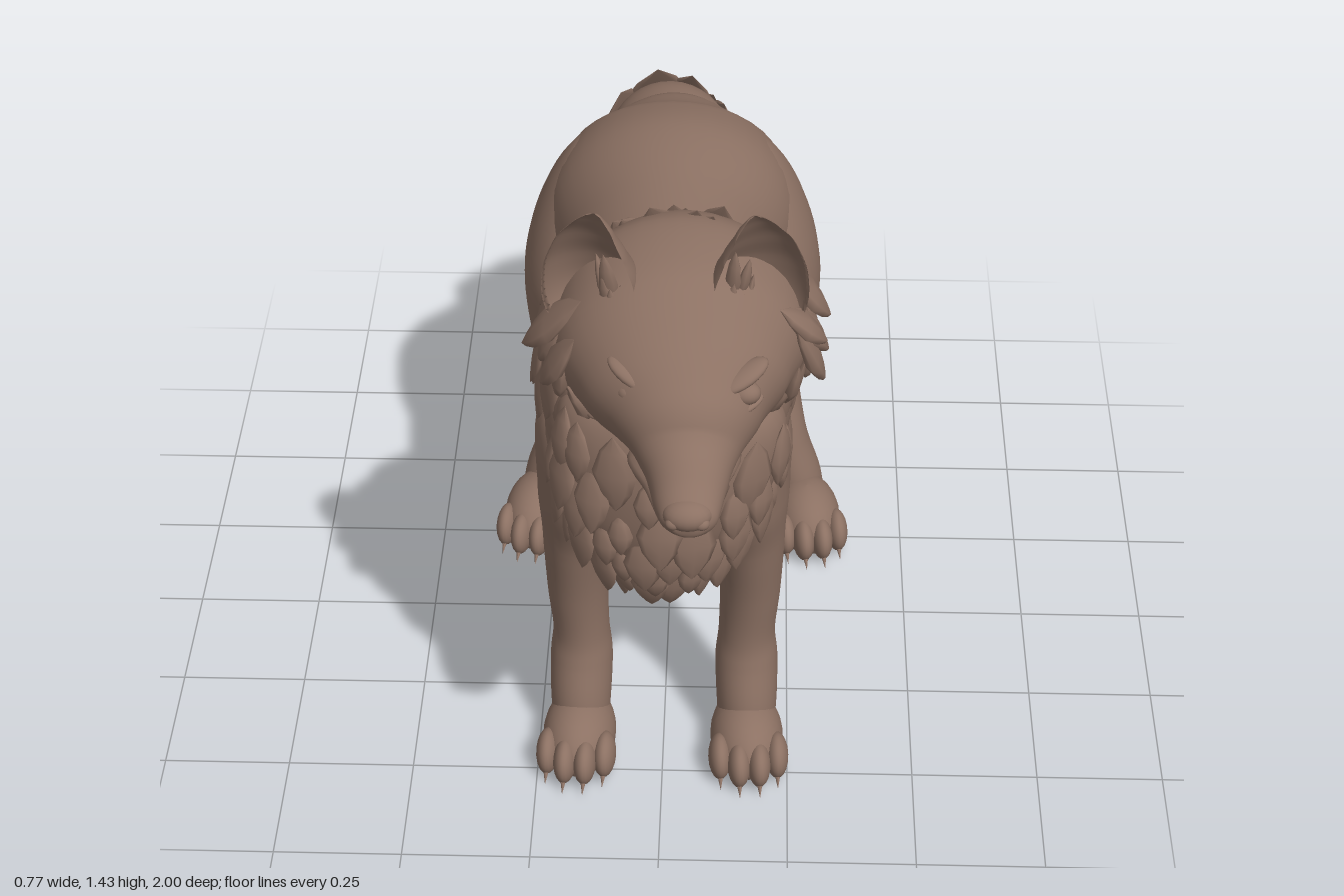
import * as THREE from 'three';
import { mergeGeometries } from 'three/addons/utils/BufferGeometryUtils.js';

const fur = new THREE.MeshStandardMaterial({ color: 0x8c7163 });
fur.name = 'brown fur';

let seed = 7;
const rand = () => ((seed = (seed * 16807) % 2147483647) / 2147483647);
const jit = (v) => (rand() - 0.5) * 2 * v;
const V = (x, y, z) => new THREE.Vector3(x, y, z);

// Smooth elliptical surface through sections [x, y, z, halfWidth, halfDepth]
function surface(sections, cup = 0) {
  const path = new THREE.CatmullRomCurve3(sections.map((s) => V(s[0], s[1], s[2])), false, 'centripetal');
  const radii = new THREE.CatmullRomCurve3(sections.map((s) => V(s[3], s[4], 0)), false, 'catmullrom', 0.4);
  return (u, a) => {
    const c = path.getPoint(u), r = radii.getPoint(u), t = path.getTangent(u);
    const rx = Math.max(r.x, 0.002), ry = Math.max(r.y, 0.002);
    const side = V(1, 0, 0).addScaledVector(t, -t.x).normalize();
    const up = t.clone().cross(side);
    let s = Math.sin(a);
    if (cup && s < 0) s *= -cup;
    const p = c.addScaledVector(side, Math.cos(a) * rx).addScaledVector(up, s * ry);
    const n = side.multiplyScalar(Math.cos(a) / rx).addScaledVector(up, s / ry).normalize();
    return { p, n, t };
  };
}

function loftGeometry(at, rows = 48, cols = 32) {
  const pos = [], index = [];
  for (let i = 0; i <= rows; i++)
    for (let j = 0; j < cols; j++) pos.push(...at(i / rows, (j / cols) * Math.PI * 2).p.toArray());
  for (let i = 0; i < rows; i++)
    for (let j = 0; j < cols; j++) {
      const k = (j + 1) % cols, a = i * cols;
      index.push(a + j, a + k, a + cols + j, a + k, a + cols + k, a + cols + j);
    }
  const g = new THREE.BufferGeometry();
  g.setAttribute('position', new THREE.Float32BufferAttribute(pos, 3));
  g.setIndex(index);
  g.computeVertexNormals();
  return g;
}

// One pointed lock of fur, growing along +y
const lock = new THREE.LatheGeometry(
  [[0, -0.5], [0.6, -0.2], [1, 0.25], [0.75, 0.6], [0.35, 0.85], [0, 1]].map((p) => new THREE.Vector2(...p)), 8);

// Rows of locks lying on a surface; flow gives the growing direction
function locks(at, { u: [u0, u1], a: [a0, a1], rows, cols, size: [w, len, thick], lift = 0.1, flow }) {
  const list = [];
  for (let i = 0; i < rows; i++)
    for (let j = 0; j < cols; j++) {
      const u = u0 + ((u1 - u0) * (i + 0.5 + jit(0.35))) / rows;
      const a = a0 + ((a1 - a0) * (j + 0.5 * (i % 2) + 0.25 + jit(0.25))) / cols;
      const { p, n, t } = at(u, a);
      const dir = flow ? flow(p) : t.clone();
      dir.addScaledVector(n, -dir.dot(n)).normalize().addScaledVector(n, lift).normalize();
      const z = n.clone().addScaledVector(dir, -n.dot(dir)).normalize();
      const x = dir.clone().cross(z);
      const k = 1 + jit(0.3);
      const m = new THREE.Matrix4().makeBasis(x.multiplyScalar(w * k), dir.multiplyScalar(len * k), z.multiplyScalar(thick));
      list.push(lock.clone().applyMatrix4(m.setPosition(p)));
    }
  return mergeGeometries(list);
}

export function createModel() {
  const root = new THREE.Group();
  const add = (name, geo, parent = root) => {
    const m = new THREE.Mesh(geo, fur);
    m.name = name;
    parent.add(m);
    return m;
  };
  const blob = (name, p, s, parent = root) => {
    const m = add(name, new THREE.SphereGeometry(1, 20, 14), parent);
    m.position.set(...p);
    m.scale.set(...s);
    return m;
  };

  // Torso, rump to chest
  const body = surface([
    [0, 0.91, -0.47, 0.01, 0.01], [0, 0.91, -0.445, 0.13, 0.12], [0, 0.89, -0.36, 0.222, 0.185],
    [0, 0.87, -0.22, 0.25, 0.23], [0, 0.845, -0.05, 0.217, 0.24], [0.005, 0.825, 0.12, 0.215, 0.25],
    [0.008, 0.82, 0.28, 0.232, 0.26], [0.005, 0.82, 0.42, 0.23, 0.26], [0, 0.82, 0.55, 0.195, 0.22],
    [0, 0.82, 0.64, 0.1, 0.13], [0, 0.82, 0.66, 0.005, 0.005]]);
  add('torso', loftGeometry(body, 64, 40));

  // Neck with thick mane
  const neck = surface([
    [0, 0.76, 0.32, 0.15, 0.2], [0, 0.86, 0.365, 0.225, 0.245], [0.01, 0.97, 0.41, 0.235, 0.235],
    [0.03, 1.1, 0.46, 0.225, 0.19], [0.035, 1.22, 0.505, 0.16, 0.13], [0.035, 1.29, 0.535, 0.02, 0.02]]);
  add('neck', loftGeometry(neck, 40, 36));
  add('neckFur', locks(neck, {
    u: [0.34, 0.66], a: [Math.PI * 0.95, Math.PI * 2.05], rows: 4, cols: 12, size: [0.036, 0.1, 0.011],
    flow: (p) => V(-p.x * 0.6, -1, -0.15) }));
  add('mane', locks(neck, {
    u: [0.44, 0.92], a: [0.2, Math.PI - 0.2], rows: 4, cols: 6, size: [0.036, 0.1, 0.012],
    flow: () => V(0, -0.6, -1) }));

  // Bushy bib from throat to breastbone
  const bib = surface([
    [0.03, 1.06, 0.56, 0.05, 0.04], [0.025, 0.98, 0.56, 0.195, 0.125], [0.015, 0.88, 0.55, 0.21, 0.15],
    [0.005, 0.78, 0.545, 0.19, 0.145], [0, 0.68, 0.525, 0.145, 0.125], [0, 0.6, 0.49, 0.08, 0.08],
    [0, 0.56, 0.46, 0.005, 0.005]]);
  add('bib', loftGeometry(bib, 40, 36));
  add('bibFur', locks(bib, {
    u: [0.22, 0.8], a: [-0.15, Math.PI], rows: 6, cols: 8, size: [0.034, 0.085, 0.014], lift: 0.1,
    flow: (p) => V(-p.x * 0.5, -1, 0) }));

  // Head, skull to muzzle
  const head = surface([
    [0.03, 1.13, 0.33, 0.01, 0.01], [0.03, 1.13, 0.37, 0.13, 0.13], [0.035, 1.13, 0.48, 0.22, 0.195],
    [0.037, 1.13, 0.6, 0.225, 0.188], [0.045, 1.11, 0.7, 0.182, 0.145], [0.052, 1.085, 0.77, 0.13, 0.114],
    [0.055, 1.058, 0.825, 0.09, 0.082], [0.057, 1.045, 0.87, 0.072, 0.066], [0.058, 1.038, 0.925, 0.061, 0.052],
    [0.06, 1.03, 0.965, 0.05, 0.04], [0.06, 1.028, 0.985, 0.03, 0.024], [0.06, 1.028, 0.99, 0.003, 0.003]]);
  add('head', loftGeometry(head, 72, 40));
  for (const s of [0, 1])
    add('cheekFur', locks(head, {
      u: [0.14, 0.33], a: s ? [Math.PI * 0.86, Math.PI * 1.45] : [-Math.PI * 0.45, Math.PI * 0.14],
      rows: 4, cols: 6, size: [0.038, 0.11, 0.016], lift: 0.2,
      flow: (p) => V(Math.sign(p.x - 0.035) * 0.4, -1, -0.45) }));
  add('lowerJaw', loftGeometry(surface([
    [0.045, 1.0, 0.66, 0.02, 0.02], [0.047, 0.995, 0.74, 0.1, 0.042], [0.052, 0.985, 0.83, 0.07, 0.031],
    [0.057, 0.985, 0.9, 0.053, 0.026], [0.06, 0.99, 0.94, 0.032, 0.016], [0.06, 0.992, 0.95, 0.003, 0.003]]), 24, 20));
  blob('nose', [0.058, 1.042, 0.966], [0.043, 0.029, 0.034]);
  for (const s of [-1, 1]) {
    blob('nostril', [0.058 + s * 0.024, 1.035, 0.984], [0.014, 0.012, 0.012]);
    blob('eye', [0.055 + s * 0.098, 1.156, 0.774], [0.027, 0.021, 0.023]);
    const brow = blob('brow', [0.053 + s * 0.096, 1.184, 0.763], [0.052, 0.014, 0.026]);
    brow.rotation.set(0, s * 0.6, s * 0.35);
    const lid = blob('lowerLid', [0.055 + s * 0.098, 1.134, 0.78], [0.037, 0.009, 0.018]);
    lid.rotation.set(0, s * 0.6, s * 0.25);

    // Cupped ear turned slightly outwards
    const ear = new THREE.Group();
    ear.name = 'ear';
    ear.position.set(0.027 + s * 0.148, 0, 0.635);
    ear.rotation.y = s * 0.35;
    const shell = surface([
      [-s * 0.02, 1.15, -0.02, 0.07, 0.07], [0, 1.22, -0.005, 0.09, 0.115], [s * 0.003, 1.29, 0, 0.086, 0.1],
      [0, 1.35, 0.002, 0.066, 0.066], [-s * 0.008, 1.4, 0.004, 0.037, 0.033],
      [-s * 0.012, 1.427, 0.005, 0.014, 0.012], [-s * 0.012, 1.433, 0.005, 0.003, 0.003]], 0.75);
    add('earShell', loftGeometry(shell, 32, 36), ear);
    add('earTuft', locks(surface([[-s * 0.045, 1.2, -0.02, 0.02, 0.02], [-s * 0.03, 1.32, -0.02, 0.01, 0.01]]), {
      u: [0, 0.8], a: [Math.PI, Math.PI * 2], rows: 3, cols: 2, size: [0.016, 0.08, 0.01] }), ear);
    root.add(ear);
  }

  // Paw with four toes and claws, sole at y = 0
  function paw(name, x, z, yaw) {
    const g = new THREE.Group();
    g.name = name;
    g.position.set(x, 0, z);
    g.rotation.y = yaw;
    const sole = new THREE.SphereGeometry(1, 24, 16);
    sole.scale(0.073, 0.08, 0.11).translate(0, 0.05, 0);
    const p = sole.attributes.position;
    for (let i = 0; i < p.count; i++) p.setY(i, Math.max(p.getY(i), 0.01));
    sole.computeVertexNormals();
    add('pad', sole, g);
    for (const [i, dx] of [-0.057, -0.02, 0.02, 0.057].entries()) {
      const front = i === 0 || i === 3 ? 0.065 : 0.09;
      const toe = blob('toe', [dx, 0.052, front], [0.023, 0.045, 0.047], g);
      toe.rotation.x = 0.35;
      const claw = add('claw', new THREE.ConeGeometry(0.009, 0.045, 8), g);
      claw.position.set(dx, 0.025, front + 0.038);
      claw.rotation.x = 2.2;
    }
    root.add(g);
  }

  for (const s of [-1, 1]) {
    const side = s > 0 ? 'left' : 'right';
    const mirror = (list) => list.map(([x, ...r]) => [s * x, ...r]);

    const fore = surface(mirror([
      [0.12, 0.92, 0.38, 0.01, 0.01], [0.14, 0.82, 0.38, 0.095, 0.14], [0.158, 0.65, 0.375, 0.085, 0.13],
      [0.168, 0.53, 0.37, 0.068, 0.095], [0.17, 0.38, 0.36, 0.06, 0.074], [0.165, 0.27, 0.357, 0.056, 0.066],
      [0.165, 0.2, 0.36, 0.062, 0.072], [0.167, 0.1, 0.385, 0.06, 0.072], [0.167, 0.02, 0.39, 0.05, 0.055],
      [0.167, 0.01, 0.39, 0.003, 0.003]]));
    add(side + 'FrontLeg', loftGeometry(fore, 48, 28));
    add(side + 'ElbowFur', locks(fore, {
      u: [0.28, 0.44], a: [-2, -1.1], rows: 3, cols: 3, size: [0.02, 0.07, 0.008], lift: 0.06 }));
    paw(side + 'FrontPaw', s * 0.168, 0.435, s * 0.06);

    const hind = surface(mirror([
      [0.08, 1.03, -0.25, 0.01, 0.01], [0.125, 0.96, -0.25, 0.09, 0.12], [0.165, 0.84, -0.25, 0.115, 0.175],
      [0.185, 0.73, -0.245, 0.12, 0.19], [0.19, 0.62, -0.235, 0.108, 0.165], [0.195, 0.52, -0.275, 0.08, 0.12],
      [0.205, 0.42, -0.36, 0.058, 0.085], [0.22, 0.33, -0.388, 0.05, 0.064], [0.243, 0.2, -0.365, 0.05, 0.066],
      [0.27, 0.09, -0.358, 0.057, 0.07], [0.28, 0.02, -0.358, 0.05, 0.055], [0.28, 0.01, -0.358, 0.003, 0.003]]));
    add(side + 'HindLeg', loftGeometry(hind, 60, 32));
    paw(side + 'HindPaw', s * 0.293, -0.275, s * 0.15);
  }

  // Bushy tail
  const tail = surface([
    [0, 0.97, -0.36, 0.07, 0.07], [-0.01, 0.89, -0.455, 0.13, 0.135], [-0.02, 0.77, -0.54, 0.14, 0.175],
    [-0.045, 0.6, -0.655, 0.155, 0.2], [-0.06, 0.41, -0.77, 0.162, 0.187], [-0.07, 0.25, -0.85, 0.125, 0.135],
    [-0.075, 0.13, -0.87, 0.065, 0.07], [-0.08, 0.045, -0.86, 0.003, 0.003]]);
  add('tail', loftGeometry(tail, 56, 36));
  add('tailFur', locks(tail, {
    u: [0.15, 0.56], a: [0, Math.PI * 2], rows: 5, cols: 9, size: [0.055, 0.14, 0.011], lift: 0.01 }));
  add('tailTipFur', locks(tail, {
    u: [0.56, 0.74], a: [0, Math.PI * 2], rows: 2, cols: 8, size: [0.045, 0.1, 0.01], lift: -0.1 }));

  return root;
}
